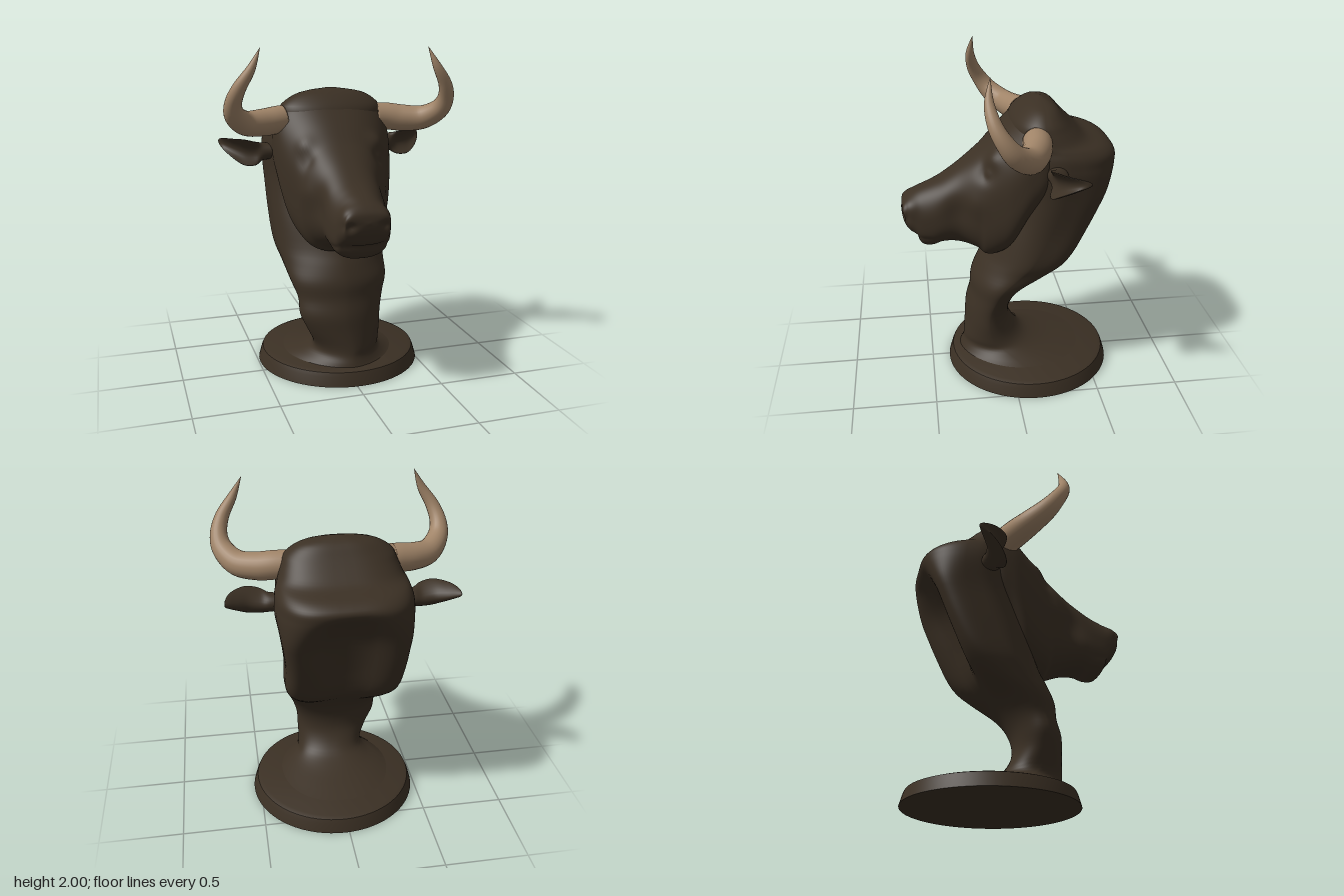
import * as THREE from 'three';
import { toCreasedNormals } from 'three/addons/utils/BufferGeometryUtils.js';

const hide = new THREE.MeshStandardMaterial({ color: 0x3b3024 });
hide.name = 'dark brown hide';
const hornTan = new THREE.MeshStandardMaterial({ color: 0xa08468 });
hornTan.name = 'horn tan';

const { smoothstep, lerp } = THREE.MathUtils;

// Smoothly interpolate the rows of a section table
function refine(rows, steps) {
  const out = [];
  const n = rows.length - 1;
  for (let k = 0; k <= n * steps; k++) {
    const i = Math.min(Math.floor(k / steps), n - 1);
    const t = k / steps - i;
    const a = rows[Math.max(i - 1, 0)], b = rows[i], c = rows[i + 1], d = rows[Math.min(i + 2, n)];
    out.push(b.map((v, j) => v + 0.5 * t * (c[j] - a[j]
      + t * (2 * a[j] - 5 * v + 4 * c[j] - d[j] + t * (3 * (v - c[j]) + d[j] - a[j])))));
  }
  return out;
}

// Closed skin over rings; point(row, cos, sin, index) returns [x, y, z]
function loft(rows, sides, point) {
  const pos = [], index = [];
  rows.forEach((row, i) => {
    for (let j = 0; j < sides; j++) {
      const t = (j / sides) * Math.PI * 2;
      pos.push(...point(row, Math.cos(t), Math.sin(t), i));
    }
  });
  for (let i = 0; i < rows.length - 1; i++) {
    for (let j = 0; j < sides; j++) {
      const k = (j + 1) % sides;
      const a = i * sides + j, b = i * sides + k;
      index.push(a, a + sides, b, b, a + sides, b + sides);
    }
  }
  // end caps
  [0, rows.length - 1].forEach((r, e) => {
    const centre = [0, 0, 0];
    for (let j = 0; j < sides; j++) {
      for (let q = 0; q < 3; q++) centre[q] += pos[(r * sides + j) * 3 + q] / sides;
    }
    const c = pos.length / 3;
    pos.push(...centre);
    for (let j = 0; j < sides; j++) {
      const a = r * sides + j, b = r * sides + (j + 1) % sides;
      if (e === 0) index.push(c, a, b);
      else index.push(c, b, a);
    }
  });
  const g = new THREE.BufferGeometry();
  g.setAttribute('position', new THREE.Float32BufferAttribute(pos, 3));
  g.setIndex(index);
  g.computeVertexNormals();
  return g;
}

const power = (v, n) => Math.sign(v) * Math.abs(v) ** (2 / n);

// Push the surface along its normals around mirrored spots [x, y, z, radius, amount]
function sculpt(g, spots, cx) {
  const p = g.attributes.position, nrm = g.attributes.normal;
  const v = new THREE.Vector3(), n = new THREE.Vector3();
  for (let i = 0; i < p.count; i++) {
    v.fromBufferAttribute(p, i);
    n.fromBufferAttribute(nrm, i);
    let d = 0;
    for (const [x, y, z, r, amount] of spots) {
      const q = (Math.abs(v.x - cx) - x) ** 2 + (v.y - y) ** 2 + (v.z - z) ** 2;
      d += amount * Math.exp(-q / (r * r));
    }
    v.addScaledVector(n, d);
    p.setXYZ(i, v.x, v.y, v.z);
  }
  g.computeVertexNormals();
  return g;
}

function neckGeometry() {
  // y, front z, back z, right x, left x, hollow of the back
  const rows = [
    [0.085, 0.32, -0.50, -0.36, 0.38, 0], [0.11, 0.31, -0.38, -0.30, 0.31, 0],
    [0.15, 0.295, -0.20, -0.22, 0.235, 0], [0.2, 0.29, -0.08, -0.195, 0.22, 0],
    [0.3, 0.28, -0.01, -0.24, 0.22, 0], [0.4, 0.27, -0.005, -0.285, 0.225, 0],
    [0.5, 0.245, -0.04, -0.29, 0.25, 0], [0.6, 0.235, -0.12, -0.325, 0.285, 0.01],
    [0.7, 0.195, -0.27, -0.35, 0.30, 0.06], [0.8, 0.14, -0.375, -0.375, 0.325, 0.11],
    [1.0, 0.05, -0.485, -0.385, 0.33, 0.165], [1.2, 0, -0.57, -0.39, 0.355, 0.17],
    [1.35, 0, -0.625, -0.405, 0.38, 0.1], [1.42, 0, -0.63, -0.405, 0.38, 0.03],
    [1.47, 0, -0.615, -0.395, 0.375, 0], [1.51, 0, -0.56, -0.38, 0.36, 0],
    [1.545, 0, -0.45, -0.36, 0.345, 0], [1.605, 0, -0.375, -0.335, 0.325, 0],
    [1.66, -0.03, -0.32, -0.305, 0.295, 0], [1.72, -0.1, -0.265, -0.2, 0.2, 0],
    [1.75, -0.18, -0.2, -0.02, 0.02, 0],
  ];
  return loft(refine(rows, 4), 80, ([y, zf, zb, xl, xr, dent], c, s) => {
    const crown = smoothstep(y, 1.2, 1.42);
    const n = s > 0 ? 1.75 + 0.45 * smoothstep(y, 0.75, 1)
      : 2.2 + 2.2 * smoothstep(y, 0.5, 0.9) - 1.0 * crown;
    const x = power(c, n);
    const taper = 1 - 0.15 * crown * Math.max(-s, 0);
    const hollow = s < 0 ? -s * dent * Math.exp(-((x / 0.55) ** 2)) : 0;
    return [(xl + xr) / 2 + x * taper * (xr - xl) / 2, y,
      (zf + zb) / 2 + power(s, n) * (zf - zb) / 2 + hollow];
  });
}

function headGeometry() {
  // z, top y, bottom y, upper half width, lower half width
  const rows = [
    [0.65, 1.085, 1.075, 0.01, 0.01], [0.64, 1.13, 1.02, 0.115, 0.125],
    [0.61, 1.165, 0.96, 0.12, 0.155], [0.57, 1.19, 0.92, 0.125, 0.175],
    [0.53, 1.21, 0.855, 0.14, 0.187], [0.47, 1.235, 0.845, 0.155, 0.197],
    [0.4, 1.27, 0.865, 0.175, 0.2], [0.3, 1.34, 0.855, 0.20, 0.197],
    [0.2, 1.42, 0.825, 0.25, 0.235], [0.15, 1.465, 0.79, 0.275, 0.265],
    [0.08, 1.54, 0.805, 0.31, 0.30], [0, 1.62, 0.87, 0.345, 0.335],
    [-0.1, 1.71, 1.06, 0.36, 0.37], [-0.2, 1.74, 1.2, 0.34, 0.38],
    [-0.3, 1.60, 1.28, 0.28, 0.28],
  ];
  const g = loft(refine(rows, 6), 96, ([z, top, bottom, wt, wb], c, s) => {
    const w = lerp(wb, wt, (s + 1) / 2);
    const cx = -0.01 - 0.015 * smoothstep(z, 0, 0.4);
    const n = s < 0 ? 2.5 + 0.7 * (1 - smoothstep(z, 0.1, 0.35)) : 2.5;
    return [cx + w * power(c, n), (top + bottom) / 2 + power(s, n) * (top - bottom) / 2, z];
  });
  const spots = [
    [0.24, 1.45, 0.12, 0.06, 0.02], // brow
    [0.25, 1.37, 0.17, 0.055, -0.025], // eye socket
    [0.25, 1.37, 0.155, 0.028, 0.02], // eye
    [0.1, 1.06, 0.62, 0.026, -0.04], // nostril
    [0.11, 1.12, 0.59, 0.05, 0.012], // nostril wing
    [0.22, 1.16, 0.2, 0.07, 0.012], // cheekbone
    [0.18, 1.1, 0.33, 0.09, -0.015], // cheek hollow
  ];
  // mouth line
  for (let i = 0; i < 6; i++) spots.push([0.19 - i * 0.006, 0.91 + i * 0.003, 0.42 + i * 0.03, 0.018, -0.01]);
  for (let i = 0; i < 6; i++) spots.push([i * 0.03, 0.925, 0.575, 0.02, -0.01]);
  return sculpt(g, spots, -0.025);
}

function hornGeometry(side) {
  // x, y, z, radius
  const rows = refine([
    [side > 0 ? 0.28 : 0.315, 1.57, -0.13, 0.083], [0.36, 1.565, -0.12, 0.084], [0.45, 1.555, -0.095, 0.082],
    [0.56, 1.56, -0.045, 0.074], [0.635, 1.615, 0.035, 0.062], [0.653, 1.69, 0.095, 0.05],
    [0.625, 1.78, 0.145, 0.04], [0.56, 1.885, 0.168, 0.026], [0.505, 2.0, 0.155, 0.001],
  ], 5).map(([x, y, z, r]) => [x * side, y, z, r]);
  const path = rows.map((r) => new THREE.Vector3(r[0], r[1], r[2]));
  const normal = new THREE.Vector3(0, 1, 0);
  const frames = path.map((p, i) => {
    const t = path[Math.min(i + 1, path.length - 1)].clone().sub(path[Math.max(i - 1, 0)]).normalize();
    normal.addScaledVector(t, -normal.dot(t)).normalize();
    return [normal.clone(), t.clone().cross(normal)];
  });
  return loft(rows, 24, ([, , , r], c, s, i) =>
    path[i].clone().addScaledVector(frames[i][0], r * c).addScaledVector(frames[i][1], -r * s).toArray());
}

function earGeometry(side) {
  // x, y, z, half height, thickness, forward curl of the rims
  const rows = [
    [0.33, 1.39, -0.235, 0.05, 0.06, 0], [0.40, 1.39, -0.24, 0.055, 0.055, 0.01],
    [0.45, 1.385, -0.25, 0.073, 0.04, 0.065], [0.52, 1.395, -0.262, 0.08, 0.034, 0.08],
    [0.58, 1.415, -0.295, 0.062, 0.033, 0.075], [0.625, 1.435, -0.33, 0.04, 0.027, 0.05],
    [0.647, 1.445, -0.352, 0.02, 0.016, 0.015], [0.652, 1.448, -0.36, 0.003, 0.003, 0],
  ];
  const drop = side < 0 ? 0.03 : 0;
  return loft(refine(rows, 5), 32, ([x, y, z, h, d, curl], c, s) =>
    [side * (x + drop), y - drop + h * c, z - side * d * s + curl * c * c]);
}

export function createModel() {
  const model = new THREE.Group();
  model.name = 'bull bust';
  const add = (name, geometry, material = hide) => {
    const mesh = new THREE.Mesh(geometry, material);
    mesh.name = name;
    model.add(mesh);
    return mesh;
  };

  // Round plinth with a softened top edge
  const profile = [[0, 0], [0.517, 0], [0.5, 0.06], [0.49, 0.083], [0.465, 0.092], [0, 0.1]];
  const disc = new THREE.LatheGeometry(profile.map(([x, y]) => new THREE.Vector2(x, y)), 72);
  add('plinth', toCreasedNormals(disc, 0.7)).position.set(0.025, 0, -0.127);

  add('neck', neckGeometry());
  add('head', headGeometry());

  for (const side of [1, -1]) {
    const label = side > 0 ? 'left' : 'right';
    add(label + 'Horn', hornGeometry(side), hornTan);
    add(label + 'Ear', earGeometry(side));
  }
  return model;
}
